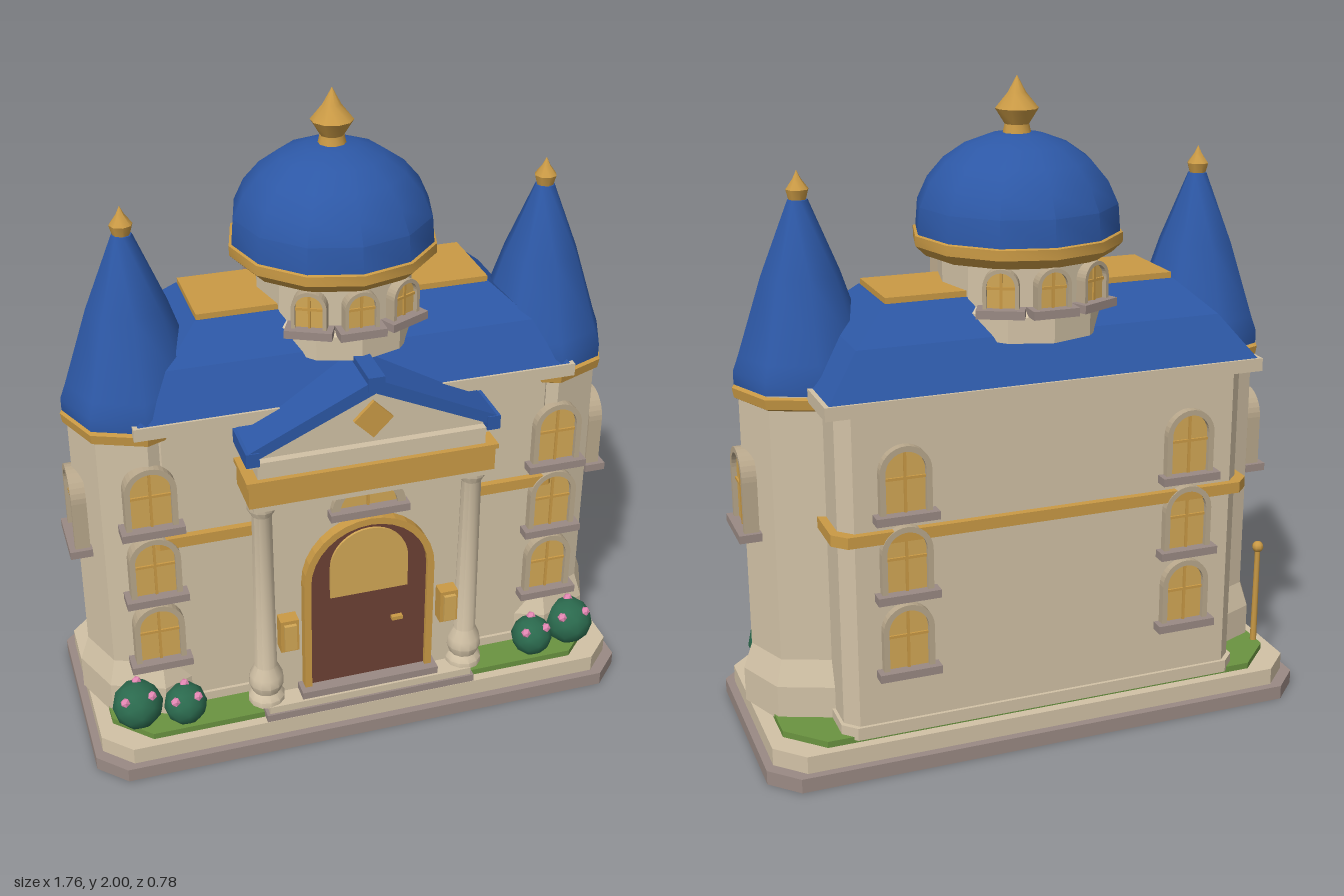
import * as THREE from 'three';
import { toCreasedNormals } from 'three/addons/utils/BufferGeometryUtils.js';

const material = (name, color) => Object.assign(new THREE.MeshStandardMaterial({ color }), { name });
const M = {
  wall: material('cream wall', 0xd2c2a6),
  frame: material('window stone', 0xb9a88c),
  stone: material('grey stone', 0x9a8a84),
  blue: material('blue roof', 0x2d58a6),
  gold: material('gold trim', 0xca9a45),
  glass: material('golden glass', 0xd3a856),
  lawn: material('lawn', 0x6a9340),
  bush: material('bush green', 0x2b6a4e),
  pink: material('blossom pink', 0xe286b2),
  door: material('door brown', 0x6c4034),
};
const CZ = -0.06; // middle of the main block in depth

function add(parent, name, geometry, mat, x = 0, y = 0, z = 0) {
  const mesh = new THREE.Mesh(geometry, mat);
  mesh.name = name;
  mesh.position.set(x, y, z);
  parent.add(mesh);
  return mesh;
}

// Box given by its limits
function box(parent, name, mat, x0, x1, y0, y1, z0, z1) {
  return add(parent, name, new THREE.BoxGeometry(x1 - x0, y1 - y0, z1 - z0), mat,
    (x0 + x1) / 2, (y0 + y1) / 2, (z0 + z1) / 2);
}

const extrude = (shape, depth) => new THREE.ExtrudeGeometry(shape, { depth, bevelEnabled: false, curveSegments: 8 });
const polygon = (pts) => new THREE.Shape(pts.map(([x, y]) => new THREE.Vector2(x, y)));

// Upright slab with cut corners
function slab(parent, name, mat, hx, hz, cut, y0, y1, z = 0) {
  const a = hx - cut, b = hz - cut;
  const shape = polygon([[a, -hz], [hx, -b], [hx, b], [a, hz], [-a, hz], [-hx, b], [-hx, -b], [-a, -hz]]);
  return add(parent, name, extrude(shape, y1 - y0).rotateX(-Math.PI / 2), mat, 0, y0, z);
}

// Turned part from [radius, height] pairs; crease in radians
function turned(parent, name, mat, profile, sides, crease, x = 0, z = 0) {
  const geo = new THREE.LatheGeometry(profile.map(([r, y]) => new THREE.Vector2(r, y)), sides);
  return add(parent, name, toCreasedNormals(geo, crease), mat, x, 0, z);
}

function archShape(w, h, base = 0) {
  const s = new THREE.Shape();
  s.moveTo(-w, base);
  s.lineTo(w, base);
  s.lineTo(w, h - w);
  s.absarc(0, h - w, w, 0, Math.PI, false);
  s.closePath();
  return s;
}

// Arched window with its surround, bars and sill; faces +z before turning
function archWindow(parent, x, y, z, turn, w = 0.078, h = 0.215, sill = 0.095) {
  const g = new THREE.Group();
  g.name = 'archedWindow';
  g.position.set(x, y, z);
  g.rotation.y = turn;
  const t = w * 0.22;
  const surround = archShape(w, h);
  surround.holes.push(archShape(w - t, h - t, 0.005));
  add(g, 'windowSurround', extrude(surround, 0.045), M.frame, 0, 0, -0.025);
  add(g, 'windowPane', extrude(archShape(w - t, h - t), 0.03), M.glass, 0, 0, -0.025);
  box(g, 'uprightBar', M.gold, -0.004, 0.004, 0, h - t, 0.003, 0.011);
  box(g, 'crossBar', M.gold, -w + t, w - t, h * 0.52, h * 0.52 + 0.008, 0.003, 0.011);
  box(g, 'windowSill', M.stone, -sill, sill, -0.013, 0.012, -0.03, 0.038);
  parent.add(g);
}

function buildBase(g) {
  slab(g, 'plinthFoot', M.stone, 0.88, 0.39, 0.085, 0, 0.045);
  slab(g, 'plinth', M.wall, 0.855, 0.365, 0.085, 0.045, 0.1);
  slab(g, 'lawn', M.lawn, 0.81, 0.335, 0.11, 0.1, 0.12);
}

function buildHall(g) {
  slab(g, 'hallWalls', M.wall, 0.64, 0.275, 0.04, 0.11, 1.13, CZ);
  slab(g, 'hallFooting', M.wall, 0.65, 0.285, 0.04, 0.11, 0.15, CZ);
  slab(g, 'stringCourse', M.gold, 0.665, 0.297, 0.04, 0.73, 0.765, CZ);
  box(g, 'eavesCornice', M.wall, -0.68, 0.68, 1.12, 1.16, CZ - 0.305, CZ + 0.305);

  // Hipped roof: a box narrowed toward the top
  const geo = new THREE.BoxGeometry(2, 2, 2, 1, 2, 1);
  const rows = [[0.67, 1.155, 0.3], [0.565, 1.29, 0.225], [0.455, 1.39, 0.135]];
  const p = geo.attributes.position;
  for (let i = 0; i < p.count; i++) {
    const [hx, y, hz] = rows[Math.round(p.getY(i)) + 1];
    p.setXYZ(i, p.getX(i) * hx, y, p.getZ(i) * hz);
  }
  add(g, 'hippedRoof', toCreasedNormals(geo, 0.1), M.blue, 0, 0, CZ);
  box(g, 'roofDeck', M.gold, -0.45, 0.45, 1.385, 1.408, CZ - 0.13, CZ + 0.13);

  for (const s of [-1, 1])
    for (const y of [0.315, 0.56, 0.805]) archWindow(g, s * 0.45, y, CZ - 0.28, Math.PI);
}

function buildDome(g) {
  const drum = turned(g, 'drum', M.wall,
    [[0, 1.275], [0.255, 1.275], [0.255, 1.35], [0.235, 1.365], [0.235, 1.51]], 12, 0.3, 0, CZ);
  drum.scale.z = 1.18;
  for (const back of [0, 1])
    for (const k of [-1, 0, 1]) {
      const dir = back ? -1 : 1;
      archWindow(g, k * 0.14 * dir, 1.365, CZ + dir * (k ? 0.24 : 0.28), back * Math.PI + k * 0.45, 0.052, 0.128, 0.07);
    }
  turned(g, 'domeRing', M.gold, [[0, 1.49], [0.285, 1.49], [0.316, 1.52], [0.316, 1.55], [0.29, 1.56]], 12, 0.6, 0, CZ);
  const curve = [[0, 1.55], [0.308, 1.55]];
  for (let i = 1; i <= 6; i++) {
    const a = (i / 6) * Math.PI / 2;
    curve.push([0.312 * Math.cos(a), 1.56 + 0.28 * Math.sin(a)]);
  }
  turned(g, 'dome', M.blue, curve, 12, 0.6, 0, CZ);
  turned(g, 'domeFinial', M.gold,
    [[0.045, 1.82], [0.036, 1.86], [0.064, 1.905], [0.027, 1.95], [0, 2]], 10, 0.7, 0, CZ);
}

function buildTower(g, s) {
  const t = new THREE.Group();
  t.name = s > 0 ? 'leftTower' : 'rightTower';
  g.add(t);
  const x = s * 0.64, z = 0.025;
  turned(t, 'towerWalls', M.wall, [[0.228, 0.11], [0.228, 0.22], [0.2, 0.3], [0.2, 1.14]], 8, 0.1, x, z);
  turned(t, 'towerRing', M.gold, [[0.195, 1.085], [0.213, 1.095], [0.218, 1.125], [0.19, 1.13]], 8, 0.1, x, z);
  turned(t, 'towerRoof', M.blue,
    [[0, 1.135], [0.212, 1.135], [0.212, 1.175], [0.195, 1.22], [0.118, 1.45], [0.03, 1.665], [0, 1.67]], 8, 0.9, x, z);
  turned(t, 'towerFinial', M.gold, [[0.02, 1.645], [0.034, 1.695], [0.012, 1.725], [0, 1.75]], 8, 0.8, x, z);
  for (const y of [0.315, 0.56, 0.805]) archWindow(t, x + s * 0.003, y, 0.222, 0);
  archWindow(t, s * 0.84, 0.685, z, s * Math.PI / 2, 0.084, 0.255, 0.098);
}

function buildPortico(g) {
  box(g, 'porticoWall', M.wall, -0.31, 0.31, 0.11, 0.9, 0.15, 0.3);
  box(g, 'lowerStep', M.stone, -0.345, 0.345, 0.11, 0.135, 0.2, 0.375);
  box(g, 'upperStep', M.wall, -0.335, 0.335, 0.135, 0.16, 0.2, 0.368);
  box(g, 'doorStep', M.stone, -0.225, 0.225, 0.16, 0.185, 0.28, 0.36);

  // Door with its surround, light and handle
  const surround = archShape(0.21, 0.615);
  surround.holes.push(archShape(0.188, 0.593, 0.005));
  add(g, 'doorSurround', extrude(surround, 0.04), M.gold, 0, 0.17, 0.295);
  add(g, 'door', extrude(archShape(0.19, 0.595), 0.025), M.door, 0, 0.17, 0.295);
  add(g, 'doorLight', extrude(archShape(0.125, 0.235), 0.008), M.glass, 0, 0.51, 0.32);
  box(g, 'doorHandle', M.gold, 0.075, 0.11, 0.385, 0.398, 0.32, 0.335);
  archWindow(g, 0, 0.807, 0.3, 0, 0.118, 0.119, 0.125);

  for (const s of [-1, 1]) {
    turned(g, 'column', M.wall,
      [[0.058, 0.155], [0.058, 0.175], [0.045, 0.195], [0.056, 0.225], [0.052, 0.255], [0.036, 0.29],
        [0.031, 0.85], [0.045, 0.875], [0.045, 0.9]], 12, 0.6, s * 0.33, 0.308);
    box(g, 'lampPlate', M.gold, s * 0.26 - 0.029, s * 0.26 + 0.029, 0.35, 0.465, 0.29, 0.345);
    box(g, 'lampGlass', M.glass, s * 0.26 - 0.019, s * 0.26 + 0.019, 0.362, 0.453, 0.34, 0.357);
    box(g, 'gableFoot', M.blue, s * 0.367 - 0.02, s * 0.367 + 0.02, 1.055, 1.1, 0.2, 0.374);
  }

  // Beam, gable and its roof
  box(g, 'architrave', M.wall, -0.365, 0.365, 0.89, 0.915, 0.15, 0.36);
  box(g, 'goldBeam', M.gold, -0.38, 0.38, 0.91, 0.99, 0.15, 0.365);
  box(g, 'beamCap', M.gold, -0.387, 0.387, 0.985, 1, 0.15, 0.372);
  box(g, 'frieze', M.wall, -0.35, 0.35, 1, 1.06, 0.15, 0.355);
  box(g, 'gableLedge', M.wall, -0.375, 0.375, 1.045, 1.06, 0.15, 0.365);
  add(g, 'gable', extrude(polygon([[-0.36, 1.055], [0.36, 1.055], [0, 1.25]]), 0.23), M.wall, 0, 0, 0.11);
  add(g, 'gableRoof', extrude(polygon([[-0.387, 1.06], [0, 1.235], [0.387, 1.06], [0.387, 1.095], [0, 1.28],
    [-0.387, 1.095]]), 0.27), M.blue, 0, 0, 0.1);
  box(g, 'ridgeBeam', M.blue, -0.025, 0.025, 1.245, 1.29, 0.12, 0.376);
  const d = 0.06;
  add(g, 'gableDiamond', extrude(polygon([[0, -d], [d, 0], [0, d], [-d, 0]]), 0.015), M.gold, 0, 1.14, 0.338);
}

function buildGarden(g) {
  const spots = [[0.73, 0.18, 0.25, 0.08], [0.585, 0.172, 0.28, 0.068]];
  const blossoms = [[-0.55, 0.62, 0.55], [0.5, 0.68, 0.5], [0.05, 0.9, -0.3]];
  for (const s of [-1, 1])
    for (const [x, y, z, r] of spots) {
      add(g, 'bush', new THREE.IcosahedronGeometry(r, 1), M.bush, s * x, y, z);
      for (const [a, b, c] of blossoms)
        add(g, 'blossom', new THREE.IcosahedronGeometry(0.016, 0), M.pink, s * x + a * r, y + b * r, z + c * r);
    }
  // Garden post behind the right tower
  add(g, 'post', new THREE.CylinderGeometry(0.009, 0.011, 0.34, 8), M.gold, -0.8, 0.28, -0.19);
  add(g, 'postBall', new THREE.SphereGeometry(0.019, 8, 6), M.gold, -0.8, 0.455, -0.19);
}

export function createModel() {
  const model = new THREE.Group();
  model.name = 'domedMansion';
  const parts = { base: buildBase, hall: buildHall, domeTower: buildDome, portico: buildPortico, garden: buildGarden };
  for (const [name, build] of Object.entries(parts)) {
    const group = new THREE.Group();
    group.name = name;
    build(group);
    model.add(group);
  }
  for (const s of [-1, 1]) buildTower(model, s);
  return model;
}
